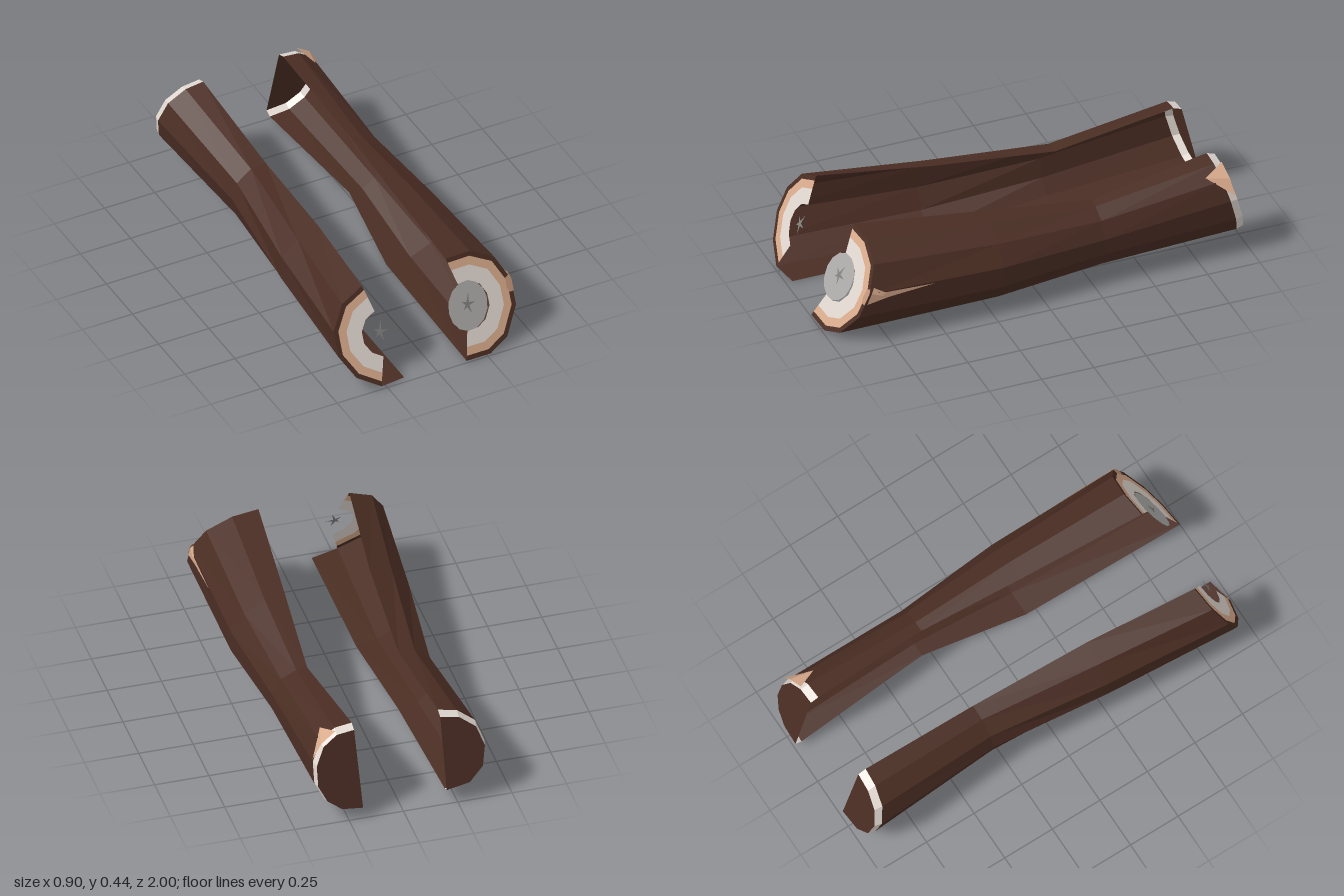
import * as THREE from 'three';

const paint = (name, color) => {
  const m = new THREE.MeshStandardMaterial({ color, flatShading: true, side: THREE.DoubleSide });
  m.name = name;
  return m;
};

// Mesh from a list of point triples
function triMesh(name, tris, material) {
  const g = new THREE.BufferGeometry();
  g.setAttribute('position', new THREE.Float32BufferAttribute(tris.flat(2), 3));
  g.computeVertexNormals();
  const mesh = new THREE.Mesh(g, material);
  mesh.name = name;
  return mesh;
}

// Surface joining neighbouring rings of equal length
function loft(name, rings, material) {
  const tris = [];
  for (let r = 0; r + 1 < rings.length; r++) {
    const a = rings[r], b = rings[r + 1];
    for (let i = 0; i + 1 < a.length; i++) {
      tris.push([a[i], b[i], a[i + 1]], [a[i + 1], b[i], b[i + 1]]);
    }
  }
  return triMesh(name, tris, material);
}

// Flat polygon filled from its first point
const fan = (name, pts, material) =>
  triMesh(name, pts.slice(2).map((p, i) => [pts[0], pts[i + 1], p]), material);

const place = (pts, zAt) => pts.map(([x, y, z]) => [x, y, z ?? zAt(x, y)]);
const shrink = (pts, [cx, cy], k) => pts.map(([x, y]) => [x + (cx - x) * k, y + (cy - y) * k]);

function circle(c, radius, n) {
  return Array.from({ length: n }, (_, i) => {
    const a = (i / n) * Math.PI * 2, r = typeof radius === 'function' ? radius(i) : radius;
    return [c[0] + Math.cos(a) * r, c[1] + Math.sin(a) * r];
  });
}

// One hollow half of the split log
function halfLog(name, mats, d) {
  const g = new THREE.Group();
  g.name = name;
  const { front, middle, waist, back, centre, capCount, frontZ, backZ } = d;

  // Bark shell, widening from the waist to both cut ends
  g.add(loft('barkShell', [
    place(front, frontZ),
    place(middle, () => d.middleZ),
    place(waist, () => -0.3),
    place(back, (x, y) => backZ(x, y) + 0.035),
  ], mats.bark));

  // Slanted front cut: bark rim, sapwood ring and pale wood around a notch
  const edge = front.slice(0, capCount);
  const ring = (k) => place(shrink(edge, centre, k), frontZ);
  g.add(loft('barkRim', [ring(0), ring(0.09)], mats.bark));
  g.add(loft('sapwoodRing', [ring(0.09), ring(0.25)], mats.sapwood));
  g.add(loft('paleWood', [ring(0.25), ring(0.55)], mats.pale));

  // Star-shaped crack at the core
  const starZ = (x, y) => frontZ(x, y) + 0.004;
  const lengths = [0.042, 0.05, 0.034, 0.03, 0.044];
  const star = circle(d.starCentre, (i) => (i % 2 ? 0.011 : lengths[i / 2]), 10);
  star.push(star[0]);
  g.add(fan('coreCrack', place([d.starCentre, ...star], starZ), mats.crack));

  // Back cut: pale bevel and dark end
  const c = [(back[0][0] + back[2][0]) / 2, 0.235];
  const inner = place(shrink(back, c, 0.07), backZ);
  inner[0][0] = back[0][0];
  inner[inner.length - 1][0] = back[back.length - 1][0];
  g.add(loft('backBevel', [place(back, (x, y) => backZ(x, y) + 0.035), inner], mats.pale));
  g.add(fan('backEnd', inner, mats.bark));
  return g;
}

export function createModel() {
  const model = new THREE.Group();
  model.name = 'splitLog';
  const mats = {
    bark: paint('bark', 0x4a2d23),
    sapwood: paint('sapwood', 0xd9ab8c),
    pale: paint('paleWood', 0xe0d7d0),
    core: paint('greyCore', 0xabaaa8),
    crack: paint('crackGrey', 0x807f7d),
    split: paint('splitWood', 0xc2957a),
  };

  const right = halfLog('rightHalf', mats, {
    front: [[-0.275, 0.44], [-0.385, 0.39], [-0.45, 0.29], [-0.45, 0.18], [-0.385, 0.075], [-0.275, 0.01], [-0.15, 0, 0.967]],
    middle: [[-0.215, 0.395], [-0.32, 0.36], [-0.395, 0.28], [-0.4, 0.17], [-0.35, 0.08], [-0.25, 0.015], [-0.15, 0]],
    waist: [[-0.18, 0.35], [-0.255, 0.345], [-0.325, 0.29], [-0.35, 0.21], [-0.33, 0.12], [-0.27, 0.06], [-0.18, 0.04]],
    back: [[-0.195, 0.425], [-0.28, 0.41], [-0.36, 0.35], [-0.397, 0.25], [-0.38, 0.15], [-0.31, 0.08], [-0.2, 0.06]],
    middleZ: 0.27, capCount: 6, centre: [-0.21, 0.225], starCentre: [-0.235, 0.235],
    frontZ: (x, y) => 0.9 - 0.44 * (y - 0.22),
    backZ: (x, y) => -0.955 + 0.25 * (y - 0.24),
  });
  model.add(right);

  const frontZ = (x, y) => 0.9 - 0.47 * (y - 0.22) - 0.13 * (x - 0.145);
  const left = halfLog('leftHalf', mats, {
    front: [[0.145, 0.44], [0.27, 0.432], [0.385, 0.37], [0.445, 0.26], [0.445, 0.15], [0.37, 0.04], [0.27, 0], [0.145, 0.01]],
    middle: [[0.195, 0.39], [0.29, 0.385], [0.385, 0.33], [0.445, 0.24], [0.445, 0.14], [0.38, 0.05], [0.28, 0.005], [0.16, 0.005]],
    waist: [[0.24, 0.35], [0.29, 0.345], [0.36, 0.31], [0.402, 0.235], [0.402, 0.16], [0.36, 0.085], [0.3, 0.045], [0.235, 0.045]],
    back: [[0.2, 0.43], [0.28, 0.42], [0.35, 0.37], [0.39, 0.28], [0.39, 0.18], [0.35, 0.1], [0.28, 0.05], [0.185, 0.04]],
    middleZ: 0.2, capCount: 8, centre: [0.207, 0.223], starCentre: [0.205, 0.23],
    frontZ,
    backZ: (x, y) => -0.952 + 0.25 * (y - 0.235),
  });

  // Grey core disc filling the notch
  left.add(fan('coreDisc', place(circle([0.207, 0.223], 0.102, 14), (x, y) => frontZ(x, y) + 0.001), mats.core));

  // Long split running back from the front edge
  left.add(fan('sideSplit', [
    [0.449, 0.24, 0.78], [0.449, 0.21, 0.857], [0.449, 0.262, 0.835], [0.438, 0.285, 0.82],
    [0.449, 0.256, 0.77], [0.449, 0.245, 0.53], [0.449, 0.228, 0.75], [0.449, 0.21, 0.857],
  ], mats.sapwood));
  left.add(fan('splitMouth', place([[0.447, 0.21], [0.447, 0.262], [0.438, 0.28], [0.417, 0.272], [0.415, 0.232], [0.425, 0.21]],
    (x, y) => frontZ(x, y) + 0.004), mats.split));

  // Chipped bark at the back end
  left.add(fan('backChip', [
    [0.33, 0.39, -0.81], [0.285, 0.426, -0.905], [0.355, 0.376, -0.917], [0.396, 0.31, -0.925],
  ], mats.sapwood));
  model.add(left);
  return model;
}
